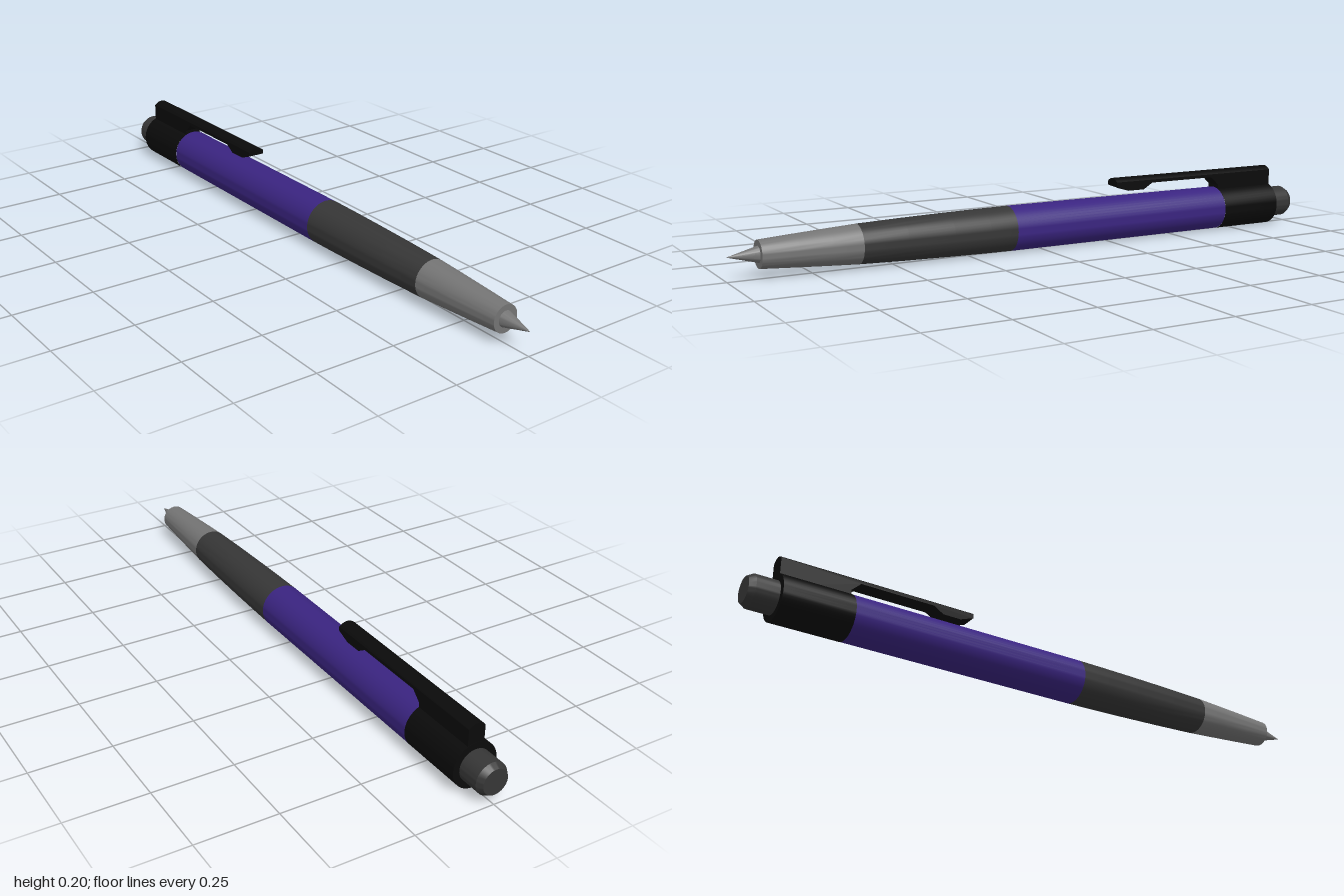
import * as THREE from 'three';
import { toCreasedNormals } from 'three/addons/utils/BufferGeometryUtils.js';

const AXIS_Y = 0.0715;

function material(name, color) {
  const m = new THREE.MeshStandardMaterial({ color });
  m.name = name;
  return m;
}

// Turned part along the z axis; profile is [radius, z], from back to front
function turned(name, profile, mat) {
  const points = profile.map(([r, z]) => new THREE.Vector2(r, z));
  const geometry = new THREE.LatheGeometry(points, 48).rotateX(Math.PI / 2);
  const mesh = new THREE.Mesh(toCreasedNormals(geometry, 0.4), mat);
  mesh.name = name;
  mesh.position.y = AXIS_Y;
  return mesh;
}

// Clip: side outline extruded across x, its top crowned by a rule
function makeClip(mat) {
  const half = 0.027;
  const outline = [
    [0.28, 0.203], [0.28, 0.177], [0.325, 0.16], [0.385, 0.16], [0.418, 0.18],
    [0.66, 0.18], [0.69, 0.152], [0.69, 0.1], [0.91, 0.1], [0.91, 0.203],
  ];
  const shape = new THREE.Shape(outline.map(([u, y]) => new THREE.Vector2(u, y)));
  const geometry = new THREE.ExtrudeGeometry(shape, { depth: 2 * half, steps: 8, bevelEnabled: false });
  geometry.translate(0, 0, -half).rotateY(Math.PI / 2);
  const p = geometry.attributes.position;
  for (let i = 0; i < p.count; i++) {
    if (p.getY(i) > 0.2) p.setY(i, 0.202 - 0.012 * (p.getX(i) / half) ** 2);
  }
  const mesh = new THREE.Mesh(toCreasedNormals(geometry, 0.4), mat);
  mesh.name = 'clip';
  return mesh;
}

export function createModel() {
  const purple = material('purple barrel', 0x3a2480);
  const rubber = material('dark grey', 0x363636);
  const metal = material('grey metal', 0x747474);
  const black = material('black plastic', 0x0a0a0a);

  const pen = new THREE.Group();
  pen.name = 'pen';
  pen.add(
    turned('button', [[0, -1], [0.04, -1], [0.051, -0.982], [0.051, -0.9]], rubber),
    turned('cap', [[0, -0.912], [0.0715, -0.912], [0.0715, -0.69]], black),
    turned('barrel', [[0.071, -0.69], [0.071, 0.108]], purple),
    turned('grip', [[0.071, 0.108], [0.07, 0.2], [0.068, 0.32], [0.0645, 0.47], [0.06, 0.61]], rubber),
    turned('nose', [[0.06, 0.61], [0.055, 0.7], [0.049, 0.8], [0.042, 0.908], [0, 0.908]], metal),
    turned('tip', [[0.025, 0.906], [0, 1]], metal),
    makeClip(black),
  );
  return pen;
}
